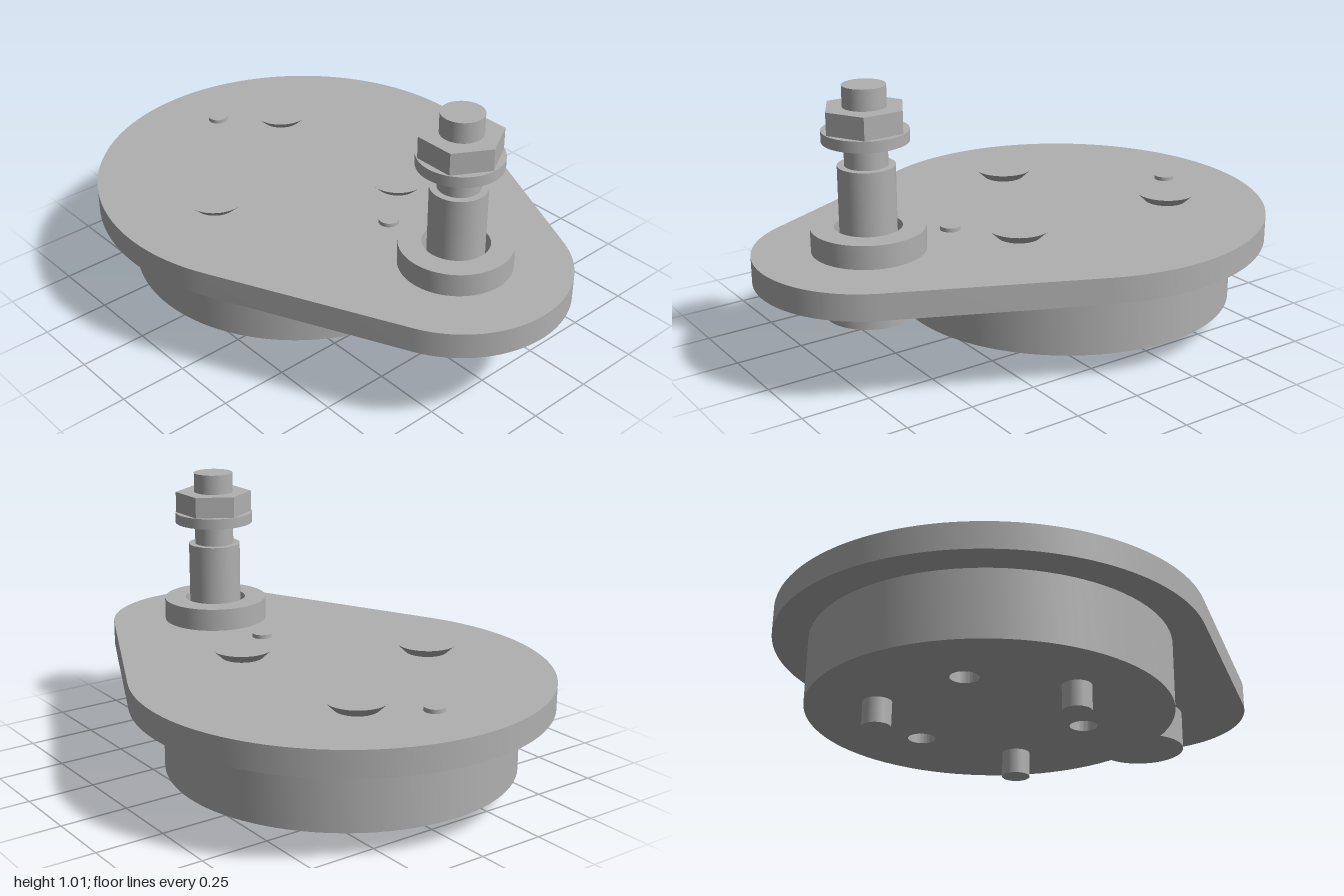
import * as THREE from 'three';
import { toCreasedNormals } from 'three/addons/utils/BufferGeometryUtils.js';

const DISC_X = -0.243; // axis of the round hub
const STUD_X = 0.592;  // axis of the threaded stud

export function createModel() {
  const model = new THREE.Group();
  model.name = 'eccentricPlate';
  const steel = new THREE.MeshStandardMaterial({ color: 0xb0b0b0 });
  steel.name = 'grey steel';

  const add = (name, geometry, x = 0, y = 0, z = 0) => {
    const mesh = new THREE.Mesh(geometry, steel);
    mesh.name = name;
    mesh.position.set(x, y, z);
    model.add(mesh);
    return mesh;
  };
  // Upright round part between two heights
  const round = (name, rTop, rBottom, y0, y1, x, z = 0) =>
    add(name, new THREE.CylinderGeometry(rTop, rBottom, y1 - y0, 64), x, (y0 + y1) / 2, z);
  // Flat outline (x, -z) raised upward between two heights
  const slab = (name, shape, y0, y1, x = 0) => {
    const geometry = new THREE.ExtrudeGeometry(shape, { depth: y1 - y0, bevelEnabled: false, curveSegments: 48 });
    geometry.rotateX(-Math.PI / 2);
    return add(name, toCreasedNormals(geometry, 0.4), x, y0);
  };
  const circle = (Type, x, y, r) => new Type().absarc(x, y, r, 0, Math.PI * 2, false);

  // Teardrop plate: two arcs joined by their common tangents
  const R = 0.757, r = 0.405;
  const tangent = Math.acos((R - r) / (STUD_X - DISC_X));
  const outline = new THREE.Shape();
  outline.absarc(DISC_X, 0, R, tangent, Math.PI * 2 - tangent, false);
  outline.absarc(STUD_X, 0, r, -tangent, tangent, false);
  outline.closePath();
  slab('plate', outline, 0.33, 0.425);

  // Hub below the plate, with three holes between the screws
  const hub = circle(THREE.Shape, 0, 0, 0.633);
  for (let i = 0; i < 3; i++) {
    const a = Math.PI / 2 + i * Math.PI * 2 / 3;
    hub.holes.push(circle(THREE.Path, 0.34 * Math.cos(a), 0.34 * Math.sin(a), 0.049));
  }
  slab('hub', hub, 0.09, 0.33, DISC_X);

  // Countersunk screws passing through plate and hub
  for (let i = 0; i < 3; i++) {
    const a = Math.PI / 2 + i * Math.PI * 2 / 3;
    const x = DISC_X + 0.393 * Math.cos(a), z = 0.393 * Math.sin(a);
    round('screwHead', 0.112, 0.07, 0.418, 0.458, x, z);
    round('screwTip', 0.05, 0.05, 0, 0.12, x, z);
  }

  // Dowel pins
  for (const side of [-1, 1]) round('dowelPin', 0.037, 0.037, 0.4, 0.44, DISC_X + side * 0.503);

  // Collar with a clearance hole around the stud
  const collar = circle(THREE.Shape, 0, 0, 0.2);
  collar.holes.push(circle(THREE.Path, 0, 0, 0.118));
  slab('collar', collar, 0.425, 0.51, STUD_X);

  // Stud with its head below the plate
  round('studHead', 0.163, 0.163, 0.19, 0.33, STUD_X);
  round('studShank', 0.1, 0.1, 0.42, 0.73, STUD_X);
  round('studThread', 0.075, 0.075, 0.73, 1.01, STUD_X);

  // Washer and hexagon nut
  round('washer', 0.15, 0.15, 0.815, 0.855, STUD_X);
  const hex = new THREE.CylinderGeometry(0.147, 0.147, 0.08, 6, 1, false, Math.PI / 6);
  add('nut', toCreasedNormals(hex, 0.4), STUD_X, 0.895);

  return model;
}
